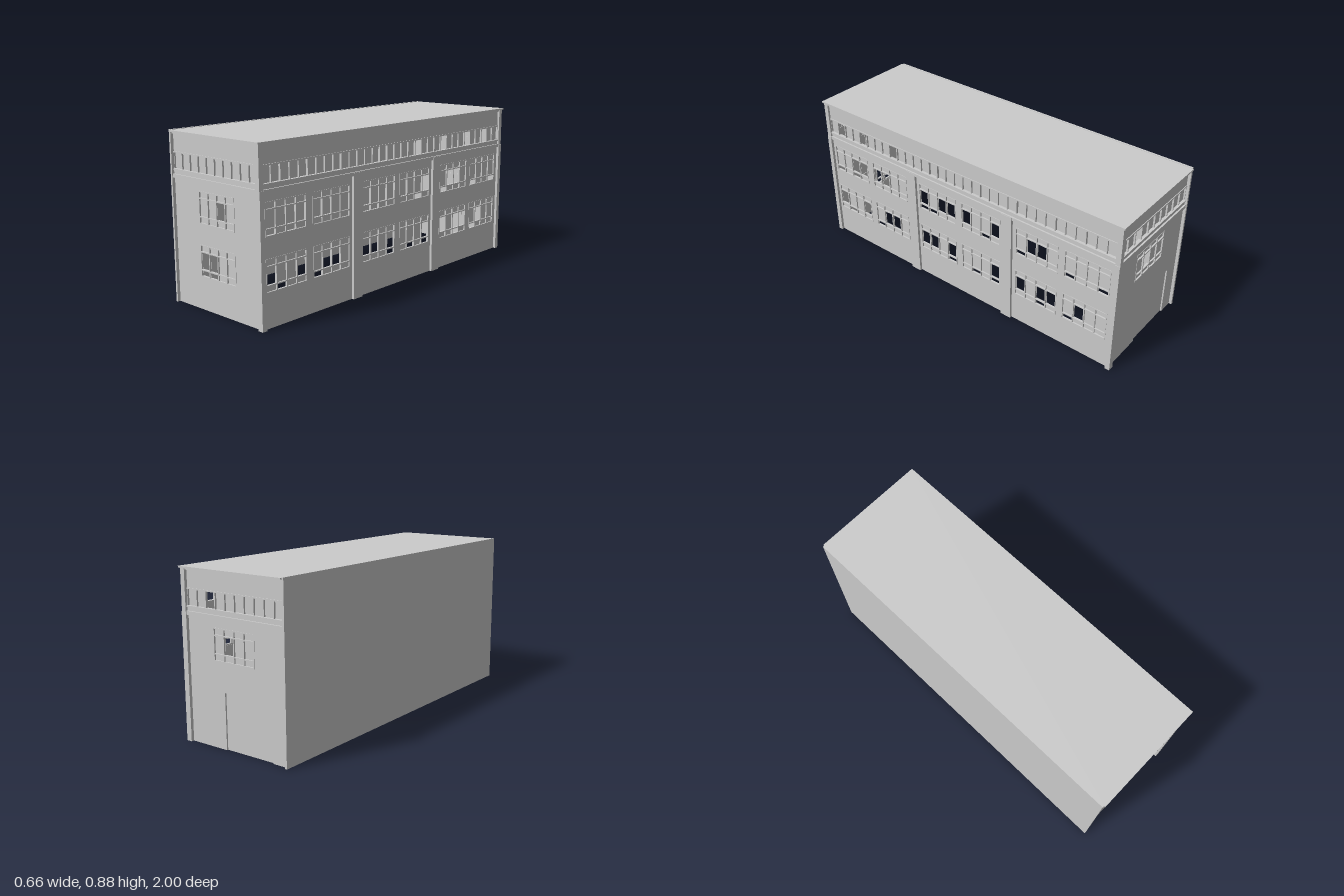
import * as THREE from 'three';

const mat = new THREE.MeshStandardMaterial({ color: 0xcccccc, side: THREE.DoubleSide });
const WIN_W = 0.265, WIN_H = 0.165;

// Axis-aligned box given by its extents
function block(parent, name, x0, x1, y0, y1, z0, z1) {
  const m = new THREE.Mesh(new THREE.BoxGeometry(x1 - x0, y1 - y0, z1 - z0), mat);
  m.position.set((x0 + x1) / 2, (y0 + y1) / 2, (z0 + z1) / 2);
  m.name = name;
  parent.add(m);
  return m;
}

function pane(parent, name, u0, u1, v0, v1, z) {
  const m = new THREE.Mesh(new THREE.PlaneGeometry(u1 - u0, v1 - v0), mat);
  m.position.set((u0 + u1) / 2, (v0 + v1) / 2, z);
  m.name = name;
  parent.add(m);
}

// Wall sheet facing +z, with window holes and an optional door notch
function wall(parent, name, u0, u1, top, windows, door) {
  const s = new THREE.Shape();
  s.moveTo(u0, 0);
  if (door) {
    s.lineTo(door.u0, 0);
    s.lineTo(door.u0, door.h);
    s.lineTo(door.u1, door.h);
    s.lineTo(door.u1, 0);
  }
  s.lineTo(u1, 0);
  s.lineTo(u1, top);
  s.lineTo(u0, top);
  s.closePath();
  for (const { u, v } of windows) {
    const h = new THREE.Path();
    h.moveTo(u, v);
    h.lineTo(u, v + WIN_H);
    h.lineTo(u + WIN_W, v + WIN_H);
    h.lineTo(u + WIN_W, v);
    h.closePath();
    s.holes.push(h);
  }
  const geo = new THREE.ExtrudeGeometry(s, { depth: 0.012, bevelEnabled: false });
  geo.translate(0, 0, -0.012);
  const m = new THREE.Mesh(geo, mat);
  m.name = name;
  parent.add(m);
}

// Four-light casement: frame, bars and the panes that are not missing.
// "middle" and "bottom" mark glazed columns with 1.
function casement(parent, { u, v, middle, bottom = '1111' }) {
  const g = new THREE.Group();
  g.name = 'window';
  g.position.set(u, v, 0);
  parent.add(g);
  const b = 0.003, step = (WIN_W - 2 * b) / 4;
  const rows = [b, 0.036, 0.128, WIN_H - b];
  for (let i = 0; i <= 4; i++) {
    const x = b + i * step;
    block(g, 'windowUpright', x - b, x + b, 0, WIN_H, -0.01, 0.002);
  }
  for (const y of rows) block(g, 'windowBar', 0, WIN_W, y - b, y + b, -0.01, 0.002);
  const glazed = [bottom, middle, '1111'];
  for (let r = 0; r < 3; r++) {
    for (let i = 0; i < 4; i++) {
      if (glazed[r][i] === '1') {
        pane(g, 'windowPane', b + i * step, b + (i + 1) * step, rows[r], rows[r + 1], -0.006);
      } else {
        // thin sash left around an empty light
        const x = b + i * step + 0.004;
        block(g, 'emptySash', x, x + 0.002, rows[r], rows[r + 1], -0.008, -0.004);
      }
    }
  }
}

// Ribbon window storey: ledges, sill, mullions, panes and fascia
function upperStorey(parent, u0, u1, count, missing) {
  block(parent, 'lowerLedge', u0, u1, 0.645, 0.664, -0.012, 0.012);
  block(parent, 'ledgeBand', u0, u1, 0.664, 0.684, -0.012, 0.003);
  block(parent, 'ribbonSill', u0, u1, 0.682, 0.69, -0.012, 0.008);
  block(parent, 'fascia', u0, u1, 0.774, 0.868, -0.012, 0);
  block(parent, 'ribbonHead', u0, u1, 0.77, 0.777, -0.012, 0.004);
  block(parent, 'eavesStrip', u0, u1, 0.864, 0.874, -0.012, 0.01);
  const step = (u1 - u0) / count;
  for (let i = 0; i <= count; i++) {
    const x = u0 + i * step;
    block(parent, 'ribbonMullion', Math.max(u0, x - 0.003), Math.min(u1, x + 0.003), 0.688, 0.774, -0.012, 0.001);
    if (i < count && !missing.includes(i)) pane(parent, 'ribbonPane', x, x + step, 0.688, 0.774, -0.008);
  }
}

// Wall side placed by its distance from the centre and its turn about y
function facade(root, name, distance, turn) {
  const g = new THREE.Group();
  g.name = name;
  g.rotation.y = turn;
  g.position.set(Math.sin(turn) * distance, 0, Math.cos(turn) * distance);
  root.add(g);
  return g;
}

export function createModel() {
  const root = new THREE.Group();
  root.name = 'building';

  // Front gable
  const front = facade(root, 'frontWall', 0.976, 0);
  const frontWindows = [
    { u: -0.135, v: 0.437, middle: '1101' },
    { u: -0.135, v: 0.169, middle: '0011', bottom: '0011' },
  ];
  wall(front, 'frontWallPanel', -0.32, 0.3, 0.648, frontWindows);
  frontWindows.forEach((w) => casement(front, w));
  upperStorey(front, -0.32, 0.298, 10, []);

  // Back gable with a doorway
  const back = facade(root, 'backWall', 0.976, Math.PI);
  const backWindow = { u: -0.13, v: 0.437, middle: '1011' };
  const door = { u0: -0.065, u1: 0.235, h: 0.288 };
  wall(back, 'backWallPanel', -0.3, 0.32, 0.648, [backWindow], door);
  casement(back, backWindow);
  block(back, 'door', door.u0, door.u1, 0, door.h, -0.014, -0.008);
  upperStorey(back, -0.298, 0.32, 10, [2]);

  // Long window side: three bays, each with two windows per floor
  const side = facade(root, 'longWall', 0.312, Math.PI / 2);
  const starts = [-0.952, -0.646, -0.287, 0.015, 0.378, 0.678];
  const upper = ['1100', '0011', '0100', '0110', '1001', '1111'];
  const lower = ['0110', '1001', '0010', '1110', '0100', '1011'];
  const upperLow = ['0101', '1111', '0011', '1101', '0111', '0110'];
  const lowerLow = ['1011', '0111', '1110', '1010', '1101', '0111'];
  const sideWindows = starts.flatMap((u, i) => [
    { u, v: 0.44, middle: upper[i], bottom: upperLow[i] },
    { u, v: 0.172, middle: lower[i], bottom: lowerLow[i] },
  ]);
  wall(side, 'longWallPanel', -0.97, 0.97, 0.648, sideWindows);
  sideWindows.forEach((w) => casement(side, w));
  upperStorey(side, -0.966, 0.966, 33, [1, 4, 8, 13, 14, 19, 23, 27, 30]);

  // Pilasters between the bays
  for (const u of [-0.333, 0.328]) block(side, 'pilaster', u - 0.032, u + 0.032, 0, 0.66, -0.01, 0.014);

  // Corner pillars
  for (const s of [-1, 1]) {
    const z = [s * 0.965, s * 0.992].sort((a, b) => a - b);
    block(root, 'cornerPillar', 0.296, 0.327, 0, 0.66, z[0], z[1]);
    block(root, 'upperCornerPillar', 0.298, 0.324, 0.66, 0.875, z[0], z[1]);
  }

  // Blank party wall and flat roof
  block(root, 'partyWall', -0.332, -0.32, 0, 0.884, -0.992, 0.992);
  block(root, 'roof', -0.322, 0.33, 0.873, 0.882, -1, 1);
  return root;
}
